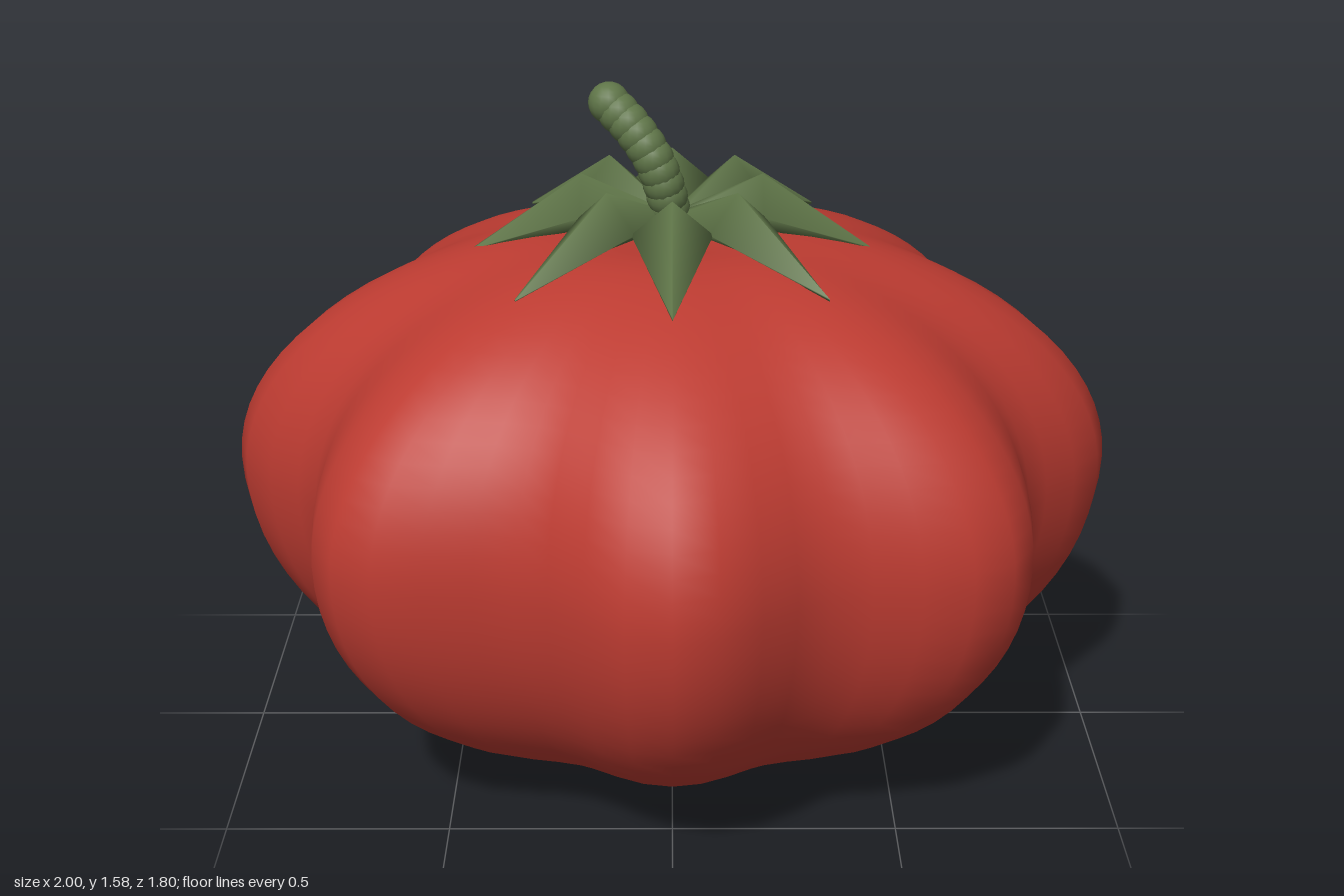
import * as THREE from 'three';
import { mergeVertices } from 'three/addons/utils/BufferGeometryUtils.js';

// Weld the seams so computed normals are smooth all round
function smooth(geometry) {
  geometry.deleteAttribute('uv');
  geometry.deleteAttribute('normal');
  const welded = mergeVertices(geometry, 1e-4);
  welded.computeVertexNormals();
  return welded;
}

// Squashed sphere with eight lobes and a shallow dimple on top
function fruitGeometry() {
  const geometry = new THREE.SphereGeometry(1, 64, 40);
  const p = geometry.attributes.position;
  for (let i = 0; i < p.count; i++) {
    const x = p.getX(i), y = p.getY(i), z = p.getZ(i);
    const ring = Math.hypot(x, z);
    const lobe = 1 - 0.075 * ring * (1 - Math.cos(8 * Math.atan2(z, x)));
    const dimple = y > 0 ? 0.05 * Math.exp(-((ring / 0.2) ** 2)) : 0;
    p.setXYZ(i, x * lobe, 0.69 + y * (y > 0 ? 0.575 : 0.69) - dimple, z * lobe * 0.9);
  }
  return smooth(geometry);
}

// Leaf along +x: diamond cross-sections, [distance, mid y, half width, top y, bottom y]
function leafGeometry(length) {
  const sections = [
    [0, 1.275, 0.012, 1.285, 1.255],
    [0.2, 1.3, 0.088, 1.375, 1.245],
    [length, 1.2, 0.001, 1.203, 1.197],
  ];
  const points = [], index = [];
  for (const [x, mid, w, top, bottom] of sections) {
    points.push(x, top, 0, x, mid, w, x, bottom, 0, x, mid, -w);
  }
  for (let s = 0; s < 2; s++) {
    for (let k = 0; k < 4; k++) {
      const a = s * 4 + k, b = s * 4 + (k + 1) % 4;
      index.push(a, b, a + 4, b, b + 4, a + 4);
    }
  }
  index.push(0, 2, 1, 0, 3, 2, 8, 9, 10, 8, 10, 11);
  const geometry = new THREE.BufferGeometry();
  geometry.setAttribute('position', new THREE.Float32BufferAttribute(points, 3));
  geometry.setIndex(index);
  geometry.computeVertexNormals();
  return geometry;
}

export function createModel() {
  const red = new THREE.MeshStandardMaterial({ color: 0xbc3b31 });
  red.name = 'fruitRed';
  const green = new THREE.MeshStandardMaterial({ color: 0x5f7548 });
  green.name = 'leafGreen';

  const model = new THREE.Group();
  model.name = 'tomato';

  const fruit = new THREE.Mesh(fruitGeometry(), red);
  fruit.name = 'fruit';
  model.add(fruit);

  // Star of eight leaves, the diagonal ones slightly longer
  const calyx = new THREE.Group();
  calyx.name = 'calyx';
  for (let i = 0; i < 8; i++) {
    const leaf = new THREE.Mesh(leafGeometry(i % 2 ? 0.467 : 0.445), green);
    leaf.name = 'leaf';
    leaf.rotation.y = i * Math.PI / 4;
    calyx.add(leaf);
  }
  model.add(calyx);

  // Curved stem of overlapping beads
  const stem = new THREE.Group();
  stem.name = 'stem';
  const curve = new THREE.CatmullRomCurve3([
    new THREE.Vector3(0, 1.25, 0.01),
    new THREE.Vector3(-0.012, 1.34, 0.042),
    new THREE.Vector3(-0.04, 1.42, 0.045),
    new THREE.Vector3(-0.085, 1.485, 0.027),
    new THREE.Vector3(-0.137, 1.535, 0),
  ]);
  const bead = new THREE.SphereGeometry(0.046, 16, 12);
  const count = 12;
  for (let i = 0; i < count; i++) {
    const mesh = new THREE.Mesh(bead, green);
    mesh.name = 'stemBead';
    mesh.position.copy(curve.getPointAt(i / (count - 1)));
    stem.add(mesh);
  }
  model.add(stem);

  return model;
}
